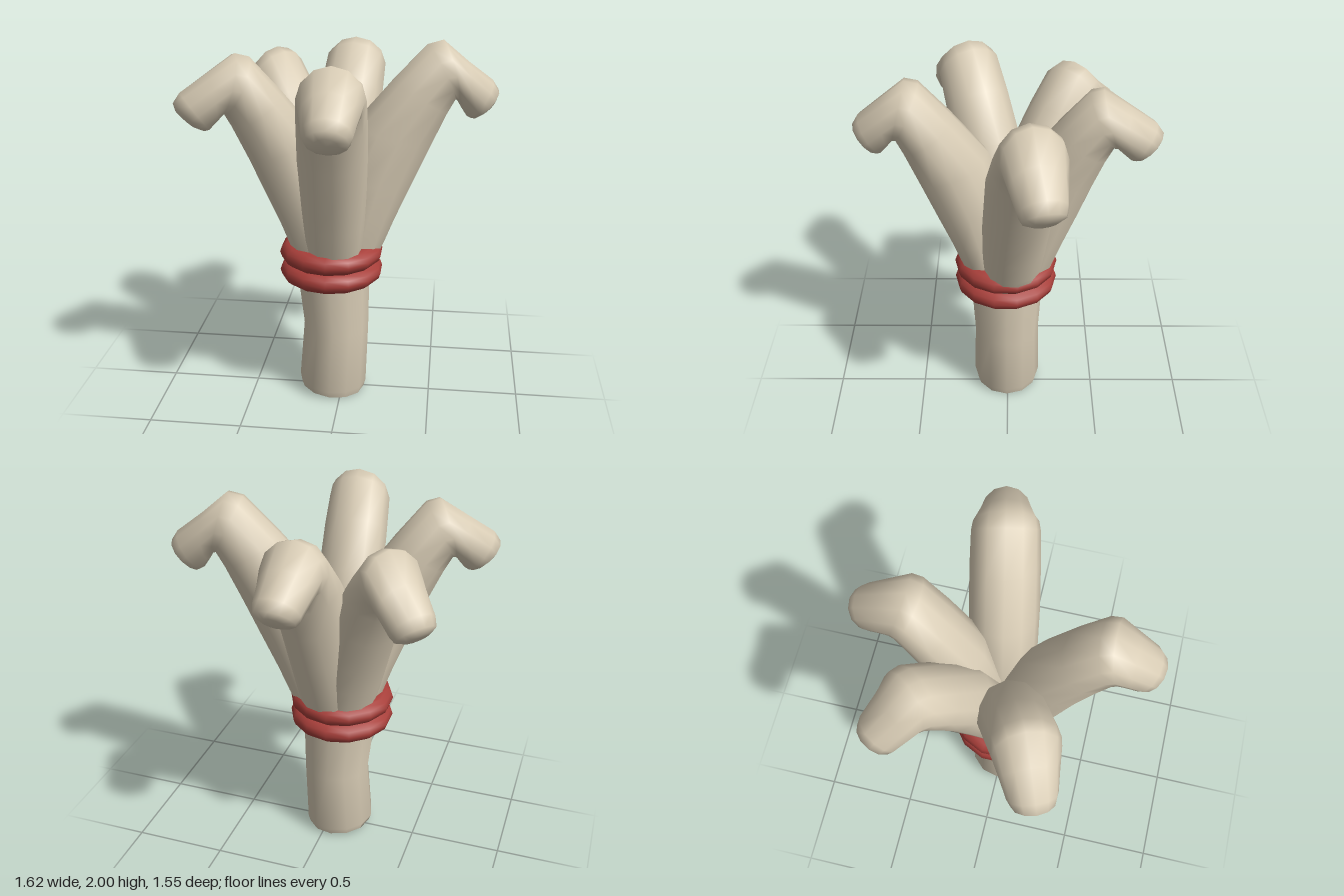
import * as THREE from 'three';
import { toCreasedNormals } from 'three/addons/utils/BufferGeometryUtils.js';

const SIDES = 12;

// Skin a list of rings (each SIDES points, counter-clockwise about the path) and cap both ends.
function loft(rings) {
  const pos = [], idx = [];
  rings.forEach(r => r.forEach(p => pos.push(p.x, p.y, p.z)));
  for (let i = 0; i < rings.length - 1; i++) {
    for (let j = 0; j < SIDES; j++) {
      const k = (j + 1) % SIDES;
      const a = i * SIDES + j, b = i * SIDES + k;
      idx.push(a, b, b + SIDES, a, b + SIDES, a + SIDES);
    }
  }
  const cap = (i, flip) => {
    const c = new THREE.Vector3();
    rings[i].forEach(p => c.addScaledVector(p, 1 / SIDES));
    const n = pos.length / 3;
    pos.push(c.x, c.y, c.z);
    for (let j = 0; j < SIDES; j++) {
      const a = i * SIDES + j, b = i * SIDES + (j + 1) % SIDES;
      if (flip) idx.push(n, b, a); else idx.push(n, a, b);
    }
  };
  cap(0, true);
  cap(rings.length - 1, false);
  const g = new THREE.BufferGeometry();
  g.setAttribute('position', new THREE.Float32BufferAttribute(pos, 3));
  g.setIndex(idx);
  return toCreasedNormals(g, 1.2);
}

// Prong sections: inner reach, inner height, outer reach, outer height, half width
const PRONG = [
  [-0.03, 0.70, 0.17, 0.70, 0.13],
  [-0.02, 0.93, 0.262, 0.91, 0.158],
  [-0.01, 1.08, 0.315, 1.05, 0.17],
  [0.01, 1.28, 0.388, 1.22, 0.178],
  [0.10, 1.55, 0.47, 1.42, 0.18],
  [0.28, 1.77, 0.54, 1.60, 0.175],
  [0.44, 1.95, 0.57, 1.67, 0.168],
  [0.51, 1.97, 0.585, 1.665, 0.16],
  [0.63, 1.88, 0.605, 1.635, 0.14],
  [0.75, 1.79, 0.635, 1.595, 0.12],
  [0.78, 1.74, 0.655, 1.59, 0.105],
  [0.772, 1.70, 0.697, 1.61, 0.06],
];

// A hooked prong leaning toward (dx, dz); arm and hook scale its two lengths
function prongGeometry({ dx, dz, arm, hook, lift, droop }) {
  const dir = new THREE.Vector3(dx, 0, dz).normalize();
  const side = new THREE.Vector3(dir.z, 0, -dir.x);
  const at = (u, y) => {
    const t = Math.max(0, (y - 0.7) / 1.28);
    const reach = Math.min(u, 0.5) * (1 + (arm - 1) * Math.min(1, t * 1.3)) + Math.max(0, u - 0.5) * hook;
    const p = dir.clone().multiplyScalar(reach);
    p.y = y + lift * t - droop * THREE.MathUtils.clamp((u - 0.56) / 0.1, 0, 1);
    p.x -= 0.055 * Math.max(0, 1 - u / 0.5);
    return p;
  };
  return loft(PRONG.map(([ui, yi, uo, yo, w]) => {
    const inner = at(ui, yi), outer = at(uo, yo);
    const mid = inner.clone().add(outer).multiplyScalar(0.5);
    const half = outer.sub(inner).multiplyScalar(0.5);
    return Array.from({ length: SIDES }, (_, j) => {
      const a = j / SIDES * Math.PI * 2;
      return mid.clone().addScaledVector(half, Math.cos(a)).addScaledVector(side, Math.sin(a) * w);
    });
  }));
}

// Stem: centre x, centre height, radius, sideways tilt of the section
function stemGeometry() {
  const rows = [
    [-0.055, 0.016, 0.178, -0.08], [-0.055, 0.055, 0.19, -0.06],
    [-0.035, 0.40, 0.182, 0], [-0.05, 0.70, 0.2, 0], [-0.055, 0.95, 0.2, 0],
  ];
  return loft(rows.map(([x, y, r, tilt]) => Array.from({ length: SIDES }, (_, j) => {
    const a = j / SIDES * Math.PI * 2;
    return new THREE.Vector3(x + Math.sin(a) * r, y + Math.sin(a) * r * tilt, 0.005 + Math.cos(a) * r);
  })));
}

// Binding ring: a plump rounded section turned about y
function ringGeometry() {
  const section = Array.from({ length: 13 }, (_, i) => {
    const a = -Math.PI + i * Math.PI / 6;
    return new THREE.Vector2(0.212 + Math.cos(a) * 0.071, Math.sin(a) * 0.058);
  });
  return new THREE.LatheGeometry(section, 14);
}

export function createModel() {
  const model = new THREE.Group();
  const bone = new THREE.MeshStandardMaterial({ color: 0xd8ccb5 });
  bone.name = 'bone';
  const red = new THREE.MeshStandardMaterial({ color: 0xa83f3a });
  red.name = 'red binding';
  const add = (name, geometry, material) => {
    const mesh = new THREE.Mesh(geometry, material);
    mesh.name = name;
    model.add(mesh);
    return mesh;
  };

  add('stem', stemGeometry(), bone);

  // Five hooked prongs fanned around the stem
  const prongs = [
    { name: 'leftProng', dx: 0.8, dz: -0.18, arm: 1.02, hook: 1.12, lift: 0.03, droop: 0.03 },
    { name: 'frontProng', dx: 0.01, dz: 0.77, arm: 0.99, hook: 1, lift: 0.012, droop: 0 },
    { name: 'rightProng', dx: -0.75, dz: 0.31, arm: 1.08, hook: 1.18, lift: 0, droop: 0 },
    { name: 'backRightProng', dx: -0.61, dz: -0.53, arm: 1.04, hook: 1.1, lift: -0.07, droop: 0.05 },
    { name: 'backProng', dx: 0.035, dz: -0.78, arm: 0.92, hook: 1.14, lift: -0.03, droop: 0 },
  ];
  prongs.forEach(p => add(p.name, prongGeometry(p), bone));

  // Two binding rings
  [['lowerRing', 0.752], ['upperRing', 0.858]].forEach(([name, y]) => {
    add(name, ringGeometry(), red).position.set(-0.06, y, 0.01);
  });

  return model;
}
